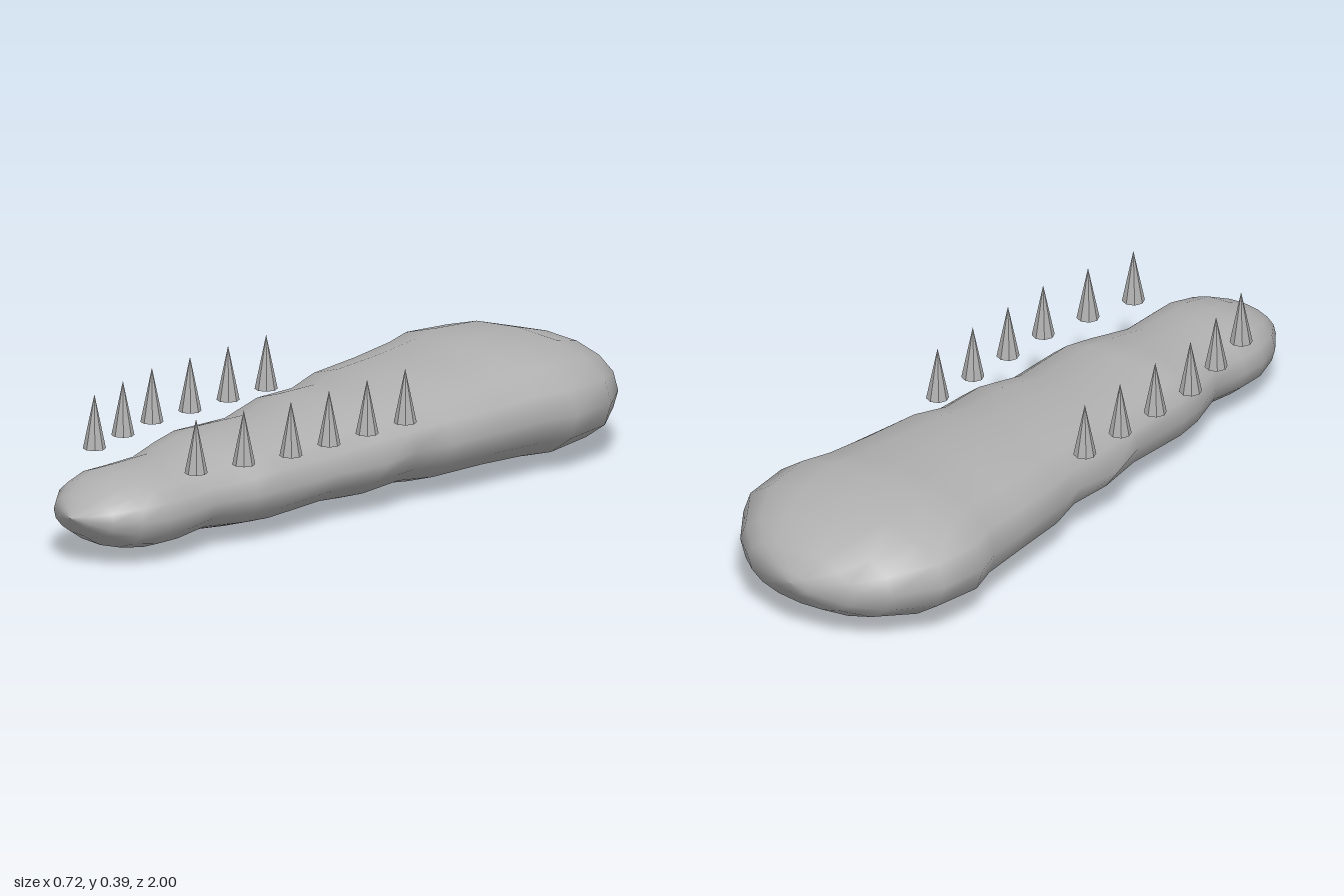
import * as THREE from 'three';

const grey = new THREE.MeshStandardMaterial({ color: 0xb0b0b0 });
grey.name = 'grey';

// Body cross-sections, back to front: z, half width, bottom, top
const sections = [
  [-1, 0, 0.16, 0.16], [-0.995, 0.06, 0.13, 0.19], [-0.955, 0.18, 0.08, 0.24],
  [-0.89, 0.26, 0.043, 0.28], [-0.77, 0.345, 0.015, 0.315], [-0.62, 0.36, 0.003, 0.325],
  [-0.53, 0.33, 0.008, 0.318], [-0.38, 0.315, 0.015, 0.305], [-0.2, 0.295, 0.014, 0.3],
  [-0.09, 0.265, 0.027, 0.28], [0.05, 0.262, 0.017, 0.284], [0.2, 0.235, 0.028, 0.256],
  [0.4, 0.235, 0.02, 0.264], [0.49, 0.22, 0.026, 0.25], [0.61, 0.178, 0.036, 0.235],
  [0.72, 0.185, 0.026, 0.233], [0.8, 0.185, 0.027, 0.234], [0.88, 0.16, 0.042, 0.22],
  [0.945, 0.11, 0.08, 0.19], [0.98, 0.05, 0.115, 0.162], [1, 0, 0.14, 0.14],
];

function bodyGeometry(sides = 16) {
  const pos = [], index = [];
  const round = (v) => Math.sign(v) * Math.abs(v) ** 0.9; // slightly squared ellipse
  sections.forEach(([z, w, bottom, top], i) => {
    for (let j = 0; j < sides; j++) {
      const a = (j / sides) * Math.PI * 2;
      // small side fin near the middle
      const fin = z === 0.05 && j % (sides / 2) === 0 ? 1.09 : 1;
      pos.push(round(Math.cos(a)) * w * fin, (top + bottom) / 2 + round(Math.sin(a)) * (top - bottom) / 2, z);
      if (i === sections.length - 1) continue;
      const p = i * sides + j, q = i * sides + (j + 1) % sides;
      index.push(p, q, p + sides, q, q + sides, p + sides);
    }
  });
  const g = new THREE.BufferGeometry();
  g.setAttribute('position', new THREE.Float32BufferAttribute(pos, 3));
  g.setIndex(index);
  g.computeVertexNormals();
  return g;
}

export function createModel() {
  const model = new THREE.Group();
  model.name = 'spikedCreature';

  const body = new THREE.Mesh(bodyGeometry(), grey);
  body.name = 'body';
  model.add(body);

  // Two rows of floating back spikes, faceted
  const cone = new THREE.ConeGeometry(0.031, 0.15, 8).toNonIndexed();
  cone.computeVertexNormals();
  const rowX = [0.185, 0.22, 0.253, 0.253, 0.253, 0.253];
  for (const side of [1, -1]) {
    const row = new THREE.Group();
    row.name = side > 0 ? 'leftSpikes' : 'rightSpikes';
    rowX.forEach((x, i) => {
      const spike = new THREE.Mesh(cone, grey);
      spike.name = 'spike';
      spike.position.set(side * x - 0.002, 0.315, 0.7 - i * 0.151);
      row.add(spike);
    });
    model.add(row);
  }
  return model;
}
